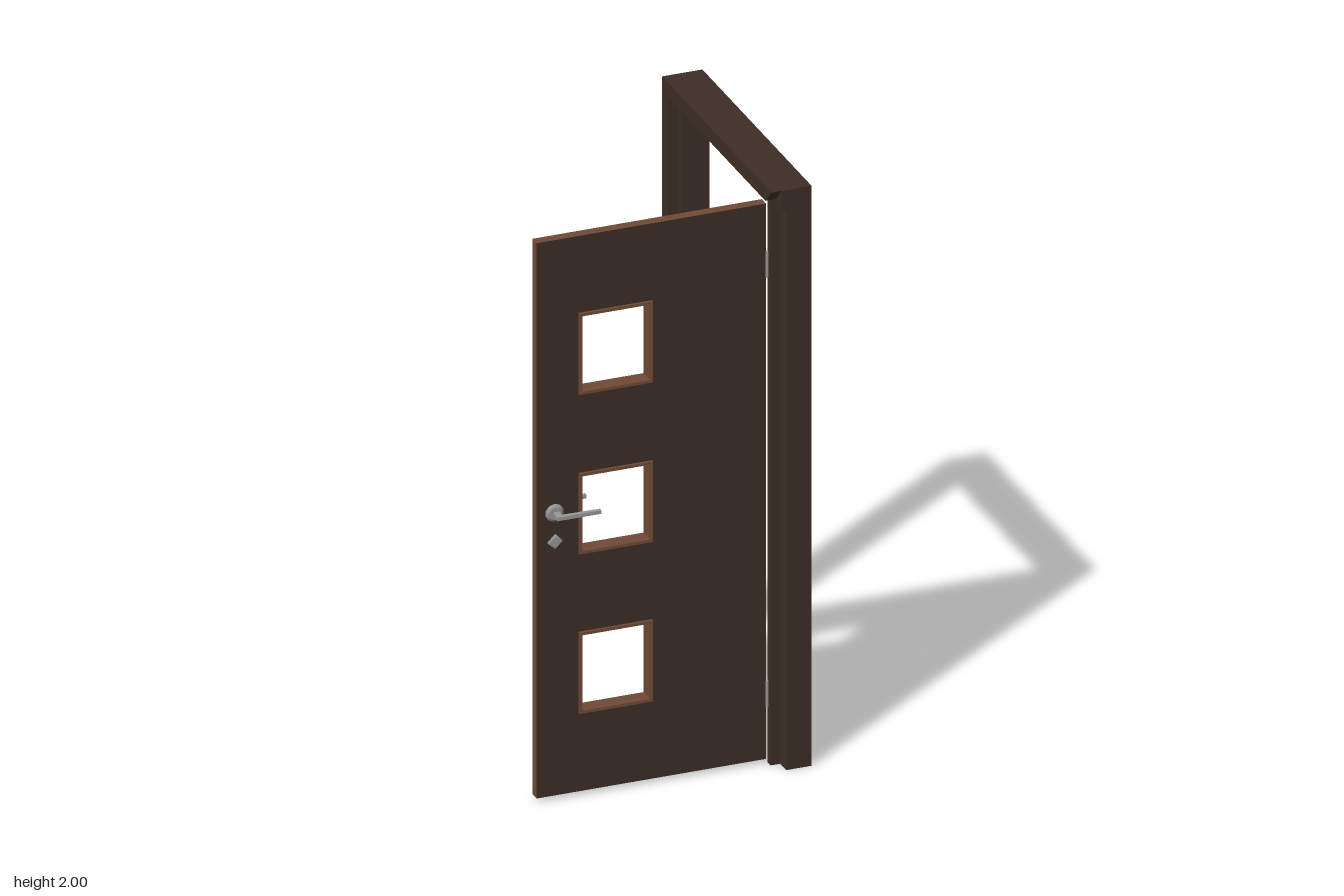
import * as THREE from 'three';

const darkWood = new THREE.MeshStandardMaterial({ color: 0x3d2e25 });
darkWood.name = 'darkWood';
const edgeWood = new THREE.MeshStandardMaterial({ color: 0x704a35 });
edgeWood.name = 'edgeWood';
const metal = new THREE.MeshStandardMaterial({ color: 0x979797 });
metal.name = 'metal';

function polygon(points) {
  return new THREE.Shape(points.map(([a, b]) => new THREE.Vector2(a, b)));
}

function rectangle(Type, x0, x1, y0, y1) {
  const path = new Type();
  path.moveTo(x0, y0);
  path.lineTo(x1, y0);
  path.lineTo(x1, y1);
  path.lineTo(x0, y1);
  path.closePath();
  return path;
}

function extrude(shape, depth) {
  return new THREE.ExtrudeGeometry(shape, { depth, bevelEnabled: false });
}

function addMesh(parent, name, geometry, material) {
  const mesh = new THREE.Mesh(geometry, material);
  mesh.name = name;
  parent.add(mesh);
  return mesh;
}

// Post: a plan outline given as [x, z], raised from the floor
function post(parent, name, plan, height) {
  const geometry = extrude(polygon(plan.map(([x, z]) => [x, -z])), height);
  geometry.rotateX(-Math.PI / 2);
  return addMesh(parent, name, geometry, darkWood);
}

function createFrame() {
  const frame = new THREE.Group();
  frame.name = 'doorFrame';

  // Rear jamb with casings on both sides of the stop
  post(frame, 'rearJamb', [
    [0.31, -0.455], [0.445, -0.455], [0.445, -0.395], [0.4, -0.395],
    [0.4, -0.38], [0.345, -0.38], [0.345, -0.405], [0.31, -0.405],
  ], 1.95);

  // Hinge jamb, cut back where the door swings
  post(frame, 'hingeJamb', [
    [0.36, 0.455], [0.445, 0.455], [0.445, 0.395], [0.4, 0.395],
    [0.4, 0.38], [0.327, 0.38], [0.327, 0.405], [0.36, 0.405],
  ], 1.95);

  // Header slices as [name, x0, x1, underside, mitred at the hinge end]
  const slices = [
    ['headerOuterCasing', 0.31, 0.345, 1.95, true],
    ['headerStop', 0.345, 0.4, 1.93, false],
    ['headerInnerCasing', 0.4, 0.445, 1.945, false],
  ];
  for (const [name, x0, x1, y, mitred] of slices) {
    const end = mitred ? 0.405 : 0.455;
    const geometry = extrude(polygon([[-0.455, 2], [-0.455, y], [end, y], [0.455, 2]]), x1 - x0);
    geometry.rotateY(-Math.PI / 2);
    geometry.translate(x1, 0, 0);
    addMesh(frame, name, geometry, darkWood);
  }
  return frame;
}

function createDoor() {
  const door = new THREE.Group();
  door.name = 'openDoor';
  const windows = [[0.295, 0.555], [0.845, 1.103], [1.395, 1.655]];

  // Leaf with three square openings
  const leaf = rectangle(THREE.Shape, -0.45, 0.32, 0.015, 1.93);
  for (const [y0, y1] of windows) {
    leaf.holes.push(rectangle(THREE.Path, -0.305, -0.068, y0 - 0.005, y1 + 0.005));
  }
  const leafMesh = addMesh(door, 'doorLeaf', extrude(leaf, 0.035), [darkWood, edgeWood]);
  leafMesh.position.z = 0.35;

  // Window mouldings standing slightly proud of both faces
  for (const [y0, y1] of windows) {
    const moulding = rectangle(THREE.Shape, -0.309, -0.063, y0 - 0.01, y1 + 0.01);
    moulding.holes.push(rectangle(THREE.Path, -0.3, -0.072, y0, y1));
    const mesh = addMesh(door, 'windowMoulding', extrude(moulding, 0.055), edgeWood);
    mesh.position.z = 0.339;
  }

  // Hinges beside the jamb
  for (const y of [0.24, 1.72]) {
    const hinge = addMesh(door, 'hinge', new THREE.CylinderGeometry(0.005, 0.005, 0.09, 8), metal);
    hinge.position.set(0.324, y, 0.385);
  }
  return door;
}

// Handle set facing +z, with its origin on the door surface
function createHandle() {
  const handle = new THREE.Group();
  handle.name = 'handleSet';

  const rose = addMesh(handle, 'rose', new THREE.CylinderGeometry(0.022, 0.031, 0.008, 10), metal);
  rose.rotation.x = Math.PI / 2;
  rose.position.set(-0.39, 0.99, 0.004);

  const lock = addMesh(handle, 'keyEscutcheon', new THREE.CylinderGeometry(0.02, 0.027, 0.006, 4), metal);
  lock.rotation.x = Math.PI / 2;
  lock.position.set(-0.388, 0.89, 0.003);

  // Neck and lever cut from one bent outline
  const lever = extrude(polygon([
    [-0.396, 0], [-0.4, 0.05], [-0.253, 0.05], [-0.253, 0.037],
    [-0.378, 0.033], [-0.378, 0],
  ].map(([x, z]) => [x, -z])), 0.012);
  lever.rotateX(-Math.PI / 2);
  lever.translate(0, 0.984, 0);
  addMesh(handle, 'lever', lever, metal);
  return handle;
}

export function createModel() {
  const model = new THREE.Group();
  model.name = 'doorWithFrame';
  model.add(createFrame(), createDoor());

  // Matching handles on both faces; the rear one is turned about the spindle
  const front = createHandle();
  front.position.z = 0.385;
  const rear = createHandle();
  rear.position.z = 0.35;
  for (const mesh of rear.children) {
    mesh.geometry.rotateZ(0);
    if (mesh.name === 'lever') {
      mesh.rotation.x = Math.PI;
      mesh.position.y = 1.98;
    } else {
      mesh.rotation.x = -Math.PI / 2;
      mesh.position.z *= -1;
    }
  }
  model.add(front, rear);
  return model;
}
